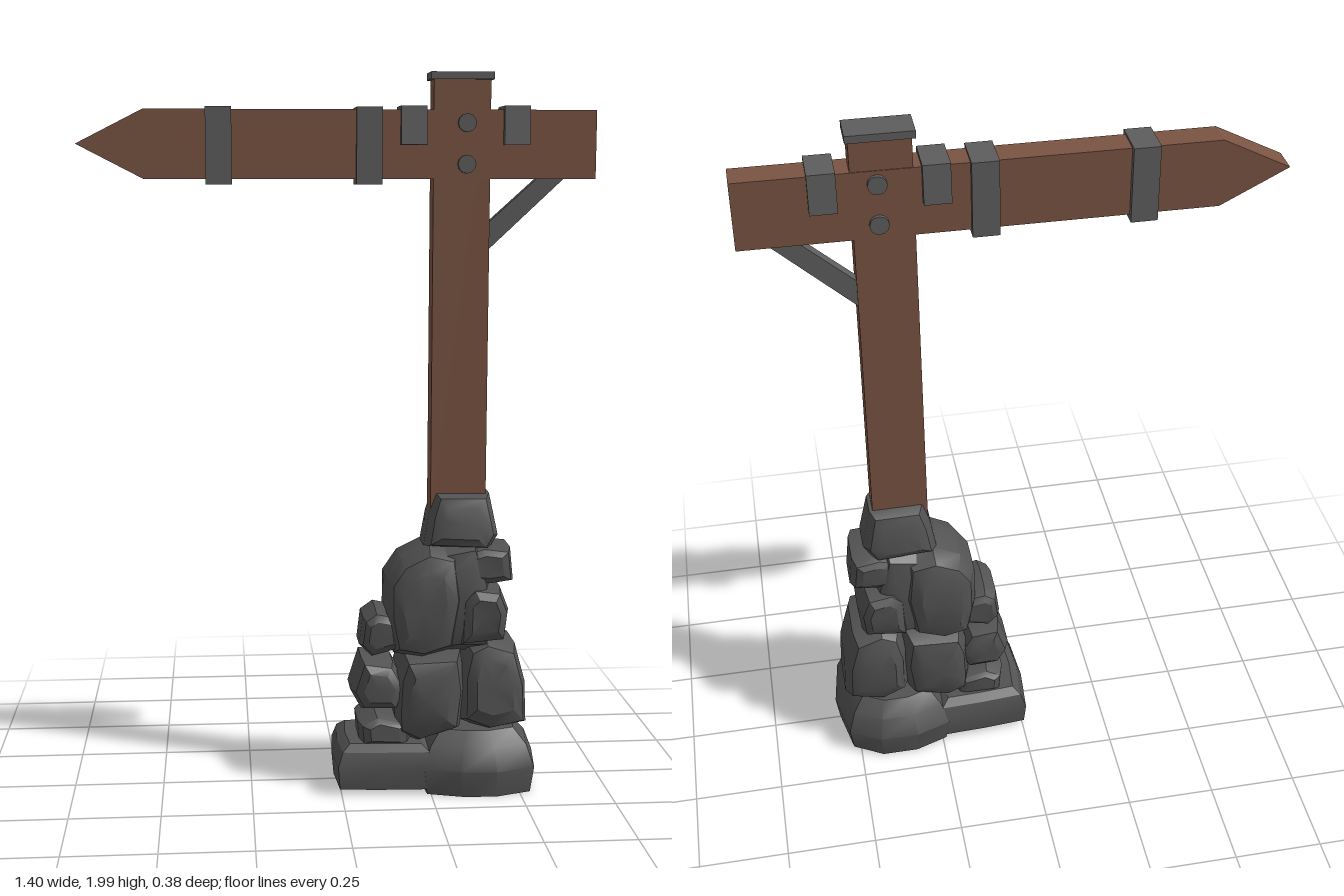
import * as THREE from 'three';
import { toCreasedNormals } from 'three/addons/utils/BufferGeometryUtils.js';

const material = (name, color) => {
  const m = new THREE.MeshStandardMaterial({ color });
  m.name = name;
  return m;
};

// Closed loft of one outline through levels [z, scale], scaled about its centre
function loft(outline, levels) {
  const pts = outline.map(([x, y]) => new THREE.Vector2(x, y));
  if (THREE.ShapeUtils.isClockWise(pts)) pts.reverse();
  const n = pts.length;
  const c = pts.reduce((a, p) => a.add(p), new THREE.Vector2()).divideScalar(n);
  const pos = [], idx = [];
  for (const [z, s] of levels)
    for (const p of pts) pos.push(c.x + (p.x - c.x) * s, c.y + (p.y - c.y) * s, z);
  for (let j = 0; j < levels.length - 1; j++)
    for (let i = 0; i < n; i++) {
      const a = j * n + i, b = j * n + (i + 1) % n;
      idx.push(a, b, b + n, a, b + n, a + n);
    }
  const last = (levels.length - 1) * n, k = pos.length / 3;
  pos.push(c.x, c.y, levels[0][0], c.x, c.y, levels[levels.length - 1][0]);
  for (let i = 0; i < n; i++) {
    const i2 = (i + 1) % n;
    idx.push(k, i2, i, k + 1, last + i, last + i2);
  }
  const g = new THREE.BufferGeometry();
  g.setAttribute('position', new THREE.Float32BufferAttribute(pos, 3));
  g.setIndex(idx);
  return g;
}

// Flat outline extruded between two z values
function plank(outline, z0, z1) {
  const shape = new THREE.Shape(outline.map(([x, y]) => new THREE.Vector2(x, y)));
  return new THREE.ExtrudeGeometry(shape, { depth: z1 - z0, bevelEnabled: false }).translate(0, 0, z0);
}

const box = (x0, x1, y0, y1, d) =>
  new THREE.BoxGeometry(x1 - x0, y1 - y0, d * 2).translate((x0 + x1) / 2, (y0 + y1) / 2, 0);

export function createModel() {
  const wood = material('brown wood', 0x7a5342);
  const stone = material('grey stone', 0x525252);
  const iron = material('grey iron', 0x5c5d5c);
  const root = new THREE.Group();
  root.name = 'signpost';
  const add = (name, geometry, mat, parent = root) => {
    const mesh = new THREE.Mesh(geometry, mat);
    mesh.name = name;
    parent.add(mesh);
    return mesh;
  };

  // Timber post and pointed board
  add('post', box(0.255, 0.41, 0.78, 1.985, 0.037), wood);
  add('arrowBoard', plank([[-0.705, 1.808], [-0.525, 1.715], [0.7, 1.715], [0.7, 1.9], [-0.525, 1.9]], -0.039, 0.039), wood);

  // Iron fittings
  add('postCap', box(0.246, 0.418, 1.98, 2, 0.045), iron);
  add('brace', plank([[0.405, 1.515], [0.62, 1.716], [0.545, 1.716], [0.405, 1.59]], -0.032, 0), iron);
  for (const x of [-0.325, 0.08]) add('boardBand', box(x - 0.035, x + 0.035, 1.7, 1.906, 0.055), iron);
  for (const x of [0.2, 0.48]) {
    const profile = [[-0.062, 1.806], [0.062, 1.806], [0.053, 1.91], [-0.053, 1.91]];
    const clip = plank(profile, -0.035, 0.035).rotateY(Math.PI / 2).translate(x, 0, 0);
    add('boardClip', clip, iron);
  }
  for (const y of [1.755, 1.865])
    add('bolt', new THREE.CylinderGeometry(0.025, 0.025, 0.1, 12).rotateX(Math.PI / 2).translate(0.345, y, 0), iron);

  // Rock cairn
  const cairn = new THREE.Group();
  cairn.name = 'cairn';
  root.add(cairn);

  // Wide footing stones, lofted upwards from plan outlines of (x, -z)
  const footings = [
    ['leftFooting', [[-0.02, 0], [-0.01, 0.14], [0.12, 0.15], [0.26, 0.155], [0.29, 0], [0.26, -0.15], [0.12, -0.145], [-0.01, -0.135]],
      [[0.025, 0.96], [0.09, 1], [0.13, 0.9], [0.148, 0.74]]],
    ['rightFooting', [[0.22, 0], [0.23, 0.155], [0.33, 0.19], [0.44, 0.19], [0.53, 0.14], [0.56, 0], [0.54, -0.15], [0.43, -0.187], [0.33, -0.18], [0.23, -0.15]],
      [[0.01, 0.94], [0.085, 1], [0.145, 0.87], [0.185, 0.66]]],
  ];
  for (const [name, outline, levels] of footings)
    add(name, toCreasedNormals(loft(outline, levels).rotateX(-Math.PI / 2), 0.55), stone, cairn);

  // Stacked stones: front outline, half depth, narrowing towards the top
  const stones = [
    ['lowerStone', [[0.155, 0.22], [0.16, 0.34], [0.18, 0.4], [0.34, 0.405], [0.355, 0.3], [0.34, 0.18], [0.22, 0.14], [0.16, 0.17]], 0.13, 0],
    ['lowerRightStone', [[0.34, 0.34], [0.36, 0.42], [0.41, 0.445], [0.495, 0.42], [0.525, 0.31], [0.53, 0.19], [0.42, 0.17], [0.34, 0.2]], 0.138, 0.1],
    ['leftStone', [[0.03, 0.29], [0.06, 0.385], [0.15, 0.37], [0.19, 0.3], [0.165, 0.235], [0.06, 0.235]], 0.1, 0],
    ['upperLeftStone', [[0.055, 0.42], [0.065, 0.5], [0.1, 0.525], [0.17, 0.51], [0.18, 0.41], [0.09, 0.385]], 0.09, 0],
    ['wedgeStone', [[0.055, 0.14], [0.05, 0.2], [0.1, 0.225], [0.2, 0.2], [0.2, 0.13]], 0.11, 0],
    ['tallStone', [[0.15, 0.4], [0.13, 0.5], [0.13, 0.61], [0.17, 0.67], [0.25, 0.71], [0.33, 0.69], [0.345, 0.56], [0.32, 0.41], [0.23, 0.385]], 0.138, 0.1],
    ['upperRightStone', [[0.33, 0.42], [0.335, 0.56], [0.37, 0.595], [0.45, 0.585], [0.475, 0.52], [0.465, 0.43]], 0.125, 0],
    ['ledgeStone', [[0.345, 0.6], [0.35, 0.69], [0.4, 0.705], [0.48, 0.695], [0.49, 0.6], [0.42, 0.59]], 0.095, 0],
    ['innerStone', [[0.26, 0.4], [0.27, 0.7], [0.38, 0.72], [0.42, 0.6], [0.42, 0.4]], 0.105, 0],
    ['collarStone', [[0.235, 0.7], [0.25, 0.79], [0.27, 0.85], [0.42, 0.848], [0.445, 0.73], [0.42, 0.69]], 0.1, 0.3],
  ];
  stones.forEach(([name, outline, d, taper], s) => {
    const g = loft(outline, [[-1, 0.55], [-0.88, 0.82], [-0.5, 1], [0.45, 1], [0.86, 0.84], [1, 0.55]].map(([z, k]) => [z * d, k]));
    const ys = outline.map((p) => p[1]);
    const y0 = Math.min(...ys), h = Math.max(...ys) - y0;
    const p = g.attributes.position;
    for (let i = 0; i < p.count; i++) {
      const t = (p.getY(i) - y0) / h;
      // Slight rough-hewn unevenness in depth
      const rough = 1 + 0.03 * Math.sin(p.getX(i) * 31 + p.getY(i) * 23 + s * 2.1);
      p.setZ(i, p.getZ(i) * (1 - taper * t) * rough);
    }
    add(name, toCreasedNormals(g, 0.55), stone, cairn);
  });

  return root;
}
